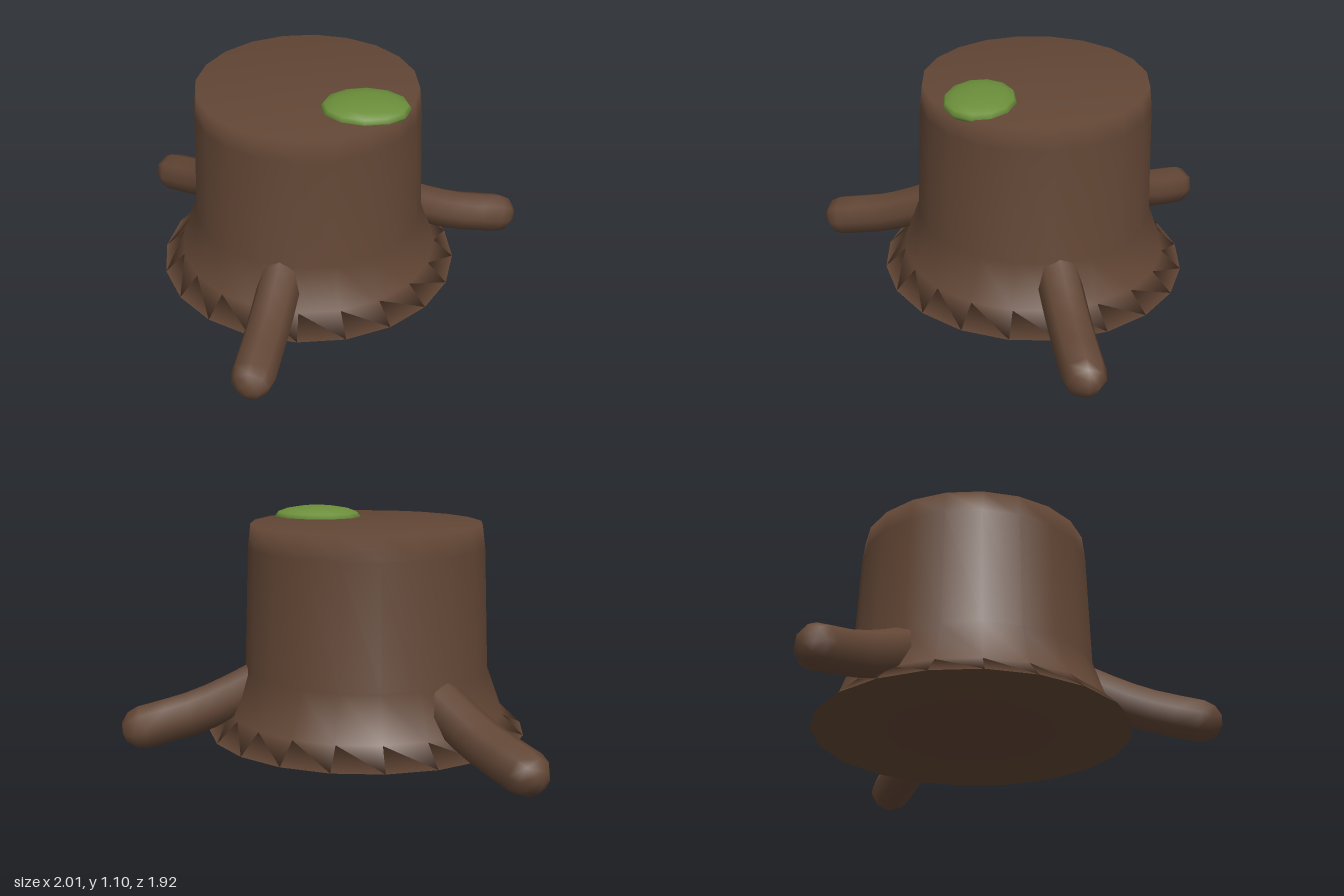
import * as THREE from 'three';
import { mergeVertices } from 'three/addons/utils/BufferGeometryUtils.js';

const CENTER = [-0.09, -0.18]; // trunk axis in x, z
const ROOT_RADIUS = 0.105;

// A capsule bent along a curve that runs outward (+x) and down
function rootGeometry() {
  const path = new THREE.CatmullRomCurve3([
    [0.42, 0.36], [0.58, 0.275], [0.8, 0.18], [1.055, 0.112],
  ].map(([d, y]) => new THREE.Vector3(d, y, 0)));
  const length = path.getLength();
  let geo = new THREE.CapsuleGeometry(ROOT_RADIUS, length, 3, 8, 6);
  geo.deleteAttribute('uv');
  geo.deleteAttribute('normal');
  const pos = geo.attributes.position;
  for (let i = 0; i < pos.count; i++) {
    const s = pos.getY(i) + length / 2;
    const along = THREE.MathUtils.clamp(s, 0, length);
    const p = path.getPointAt(along / length);
    const t = path.getTangentAt(along / length);
    const beyond = s - along; // rounded ends continue along the tangent
    const off = -pos.getX(i);
    pos.setXYZ(i,
      p.x + t.x * beyond - t.y * off,
      p.y + t.y * beyond + t.x * off,
      pos.getZ(i));
  }
  geo = mergeVertices(geo, 1e-4);
  geo.computeVertexNormals();
  return geo;
}

export function createModel() {
  const bark = new THREE.MeshStandardMaterial({ color: 0x624635 });
  bark.name = 'bark brown';
  const green = new THREE.MeshStandardMaterial({ color: 0x6b8e3a });
  green.name = 'moss green';

  const model = new THREE.Group();
  model.name = 'treeStump';

  // Closed trunk with a flared foot and a slightly narrowed rim
  const profile = [
    [0, 0.075], [0.75, 0.075], [0.65, 0.17], [0.575, 0.38], [0.555, 0.95], [0.542, 1.06], [0, 1.06],
  ].map(([r, y]) => new THREE.Vector2(r, y));
  const trunk = new THREE.Mesh(new THREE.LatheGeometry(profile, 20), bark);
  trunk.name = 'trunk';
  trunk.position.set(CENTER[0], 0, CENTER[1]);
  model.add(trunk);

  // Three roots spread evenly around the trunk
  const roots = new THREE.Group();
  roots.name = 'roots';
  roots.position.copy(trunk.position);
  const geo = rootGeometry();
  for (let i = 0; i < 3; i++) {
    const root = new THREE.Mesh(geo, bark);
    root.name = 'root';
    root.rotation.y = -THREE.MathUtils.degToRad(99.5 + i * 120);
    roots.add(root);
  }
  model.add(roots);

  // Flattened moss cushion on the cut top
  const moss = new THREE.Mesh(new THREE.SphereGeometry(1, 12, 8), green);
  moss.name = 'mossPatch';
  moss.scale.set(0.215, 0.052, 0.172);
  moss.position.set(0.2, 1.06, 0.037);
  model.add(moss);

  return model;
}
